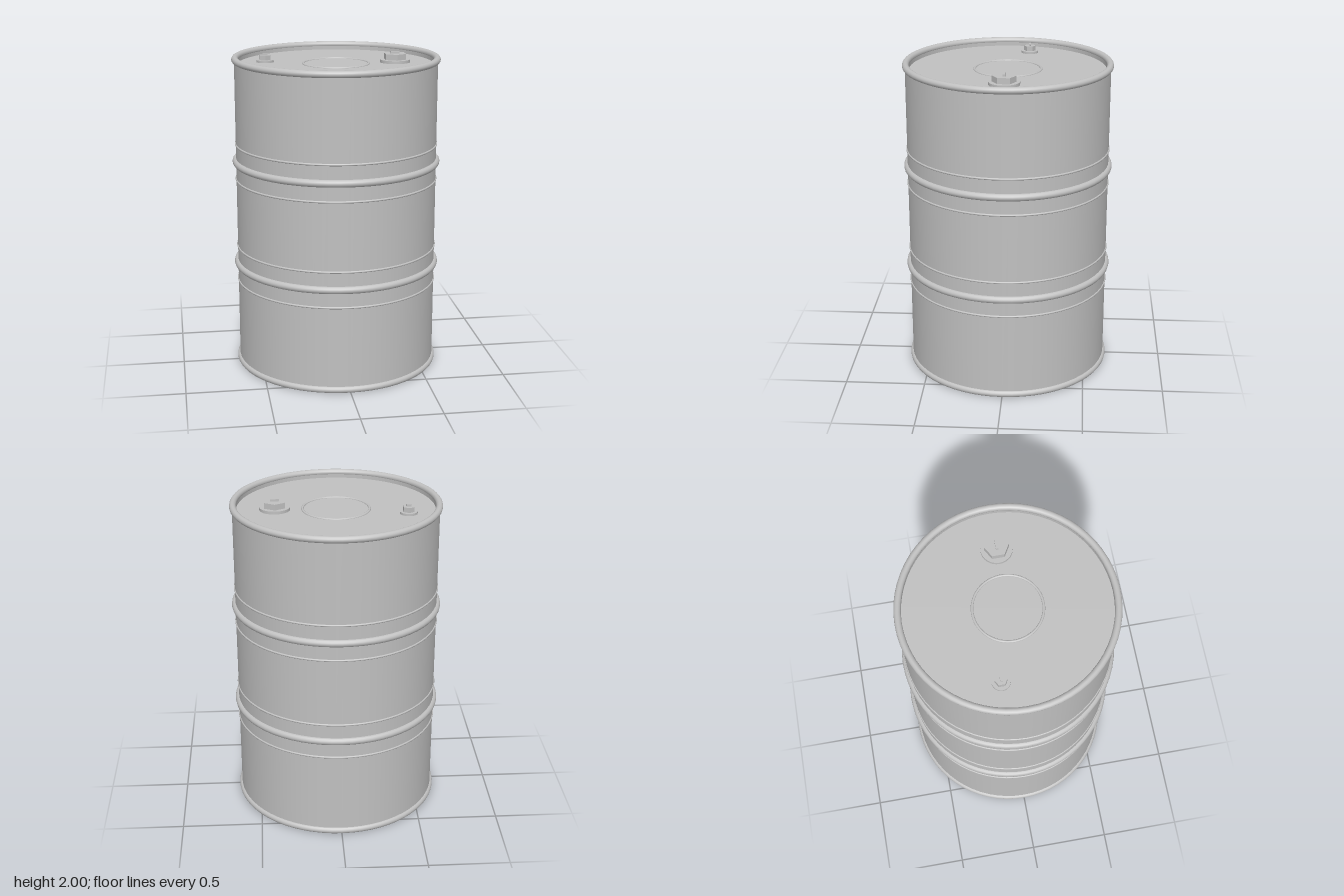
import * as THREE from 'three';

const SEG = 64;

export function createModel() {
  const drum = new THREE.Group();
  drum.name = 'drum';
  const steel = new THREE.MeshStandardMaterial({ color: 0xc0c0c0, side: THREE.DoubleSide });
  steel.name = 'grey steel';

  const add = (name, geometry, x, y, z, parent = drum) => {
    const mesh = new THREE.Mesh(geometry, steel);
    mesh.name = name;
    mesh.position.set(x, y, z);
    parent.add(mesh);
    return mesh;
  };
  const hoop = (name, radius, tube, y) =>
    add(name, new THREE.TorusGeometry(radius, tube, 14, SEG).rotateX(Math.PI / 2), 0, y, 0);
  const disc = (name, radius, y, facing) =>
    add(name, new THREE.CircleGeometry(radius, SEG).rotateX(-facing * Math.PI / 2), 0, y, 0);

  // Shell and the short inner wall above the recessed lid
  add('shell', new THREE.CylinderGeometry(0.631, 0.631, 1.95, SEG, 1, true), 0, 0.987, 0);
  const wall = new THREE.LatheGeometry(
    [new THREE.Vector2(0.607, 1.966), new THREE.Vector2(0.607, 1.933)], SEG);
  add('innerWall', wall, 0, 0, 0);
  disc('lid', 0.61, 1.933, 1);
  disc('base', 0.63, 0.012, -1);

  // Rolled rims
  hoop('topRim', 0.626, 0.021, 1.965);
  hoop('bottomRim', 0.626, 0.021, 0.021);

  // Two rolling hoops, each with a thin bead above and below
  for (const y of [0.667, 1.325]) {
    hoop('rollingHoop', 0.63, 0.023, y);
    hoop('upperBead', 0.63, 0.007, y + 0.112);
    hoop('lowerBead', 0.63, 0.007, y - 0.113);
  }

  // Raised ring pressed into the lid
  hoop('lidRing', 0.204, 0.008, 1.933);

  // Bungs: round flange, hexagonal head and a raised grip bar
  const bung = (name, x, z, flangeR, flangeH, hexR, hexH, barL, barW, barH) => {
    const group = new THREE.Group();
    group.name = name;
    group.position.set(x, 1.933, z);
    add('flange', new THREE.CylinderGeometry(flangeR, flangeR, flangeH, 32), 0, flangeH / 2, 0, group);
    const head = new THREE.CylinderGeometry(hexR, hexR, hexH, 6).toNonIndexed();
    head.computeVertexNormals();
    add('hexHead', head, 0, hexH / 2, 0, group);
    add('gripBar', new THREE.BoxGeometry(barL, barH, barW), 0, hexH + barH / 2, 0, group);
    drum.add(group);
  };
  bung('largeBung', 0.372, 0, 0.094, 0.018, 0.073, 0.054, 0.054, 0.016, 0.013);
  bung('smallBung', -0.43, -0.116, 0.054, 0.014, 0.037, 0.044, 0.032, 0.012, 0.012);

  return drum;
}
